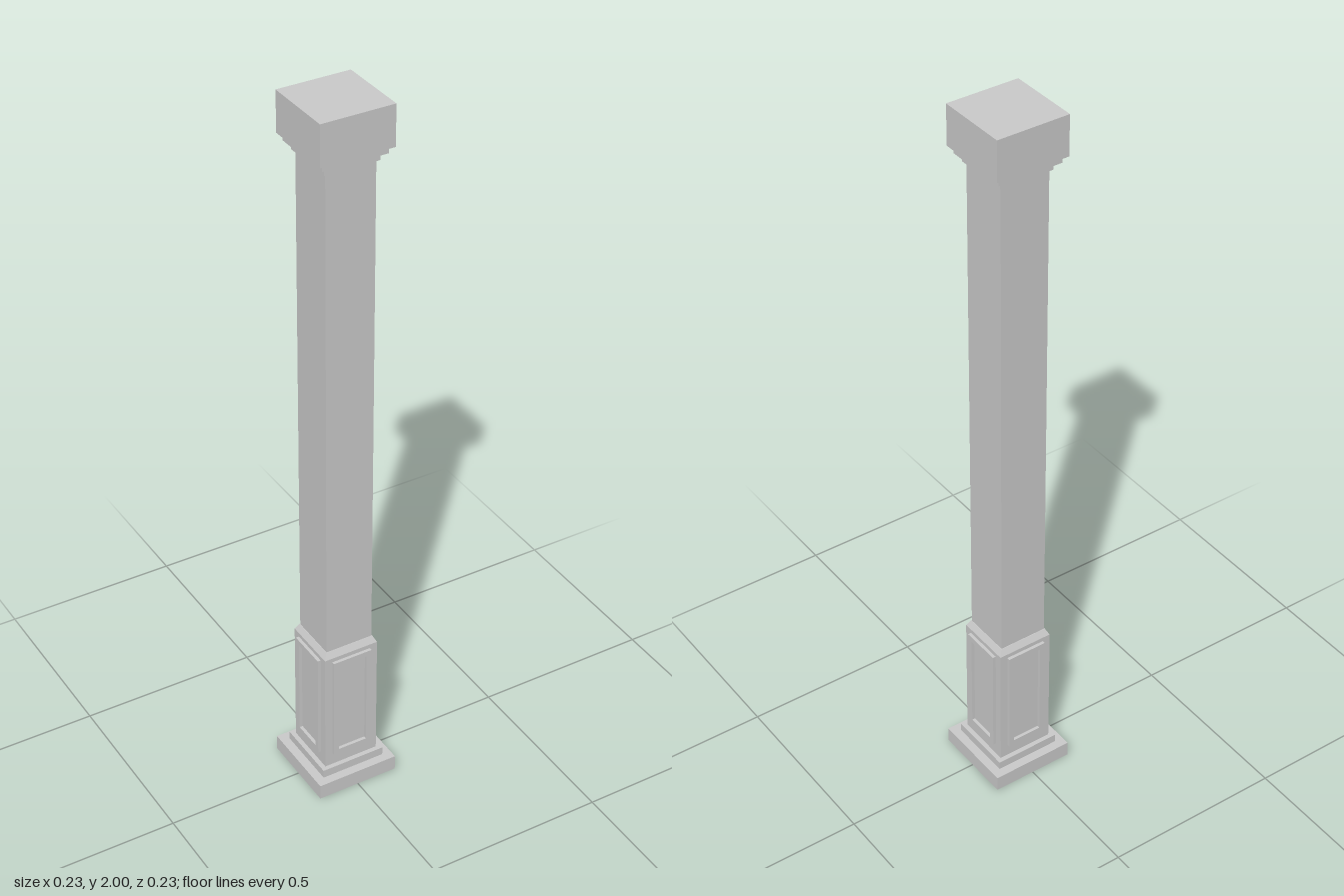
import * as THREE from 'three';

const material = new THREE.MeshStandardMaterial({ color: 0xcccccc, flatShading: true });

function add(parent, name, geometry) {
  const mesh = new THREE.Mesh(geometry, material);
  mesh.name = name;
  parent.add(mesh);
  return mesh;
}

// Square block given by its half width and its bottom and top heights
function block(parent, name, half, y0, y1) {
  const mesh = add(parent, name, new THREE.BoxGeometry(half * 2, y1 - y0, half * 2));
  mesh.position.y = (y0 + y1) / 2;
}

// Square block that narrows towards the top
function taper(parent, name, half0, half1, y0, y1) {
  const r = Math.SQRT2;
  const geometry = new THREE.CylinderGeometry(half1 * r, half0 * r, y1 - y0, 4);
  geometry.rotateY(Math.PI / 4);
  add(parent, name, geometry).position.y = (y0 + y1) / 2;
}

function rectangle(target, halfWidth, y0, y1) {
  target.moveTo(-halfWidth, y0);
  target.lineTo(halfWidth, y0);
  target.lineTo(halfWidth, y1);
  target.lineTo(-halfWidth, y1);
  target.closePath();
  return target;
}

export function createModel() {
  const column = new THREE.Group();
  column.name = 'column';

  // Stepped base
  block(column, 'plinth', 0.117, 0, 0.044);
  block(column, 'baseStep', 0.092, 0.044, 0.068);

  // Pedestal with a chamfered top
  block(column, 'pedestal', 0.079, 0.068, 0.432);
  taper(column, 'pedestalChamfer', 0.079, 0.07, 0.432, 0.45);

  // Raised panel frame on each side of the pedestal
  const outline = rectangle(new THREE.Shape(), 0.057, 0.105, 0.42);
  outline.holes.push(rectangle(new THREE.Path(), 0.042, 0.12, 0.405));
  const frame = new THREE.ExtrudeGeometry(outline, { depth: 0.011, bevelEnabled: false });
  frame.translate(0, 0, 0.077);
  for (let i = 0; i < 4; i++) {
    add(column, 'panelFrame', frame).rotation.y = i * Math.PI / 2;
  }

  // Shaft
  block(column, 'shaft', 0.068, 0.45, 1.852);

  // Stepped capital
  block(column, 'lowerNeck', 0.075, 1.852, 1.872);
  block(column, 'upperNeck', 0.089, 1.872, 1.89);
  block(column, 'capital', 0.1, 1.89, 2);

  return column;
}
